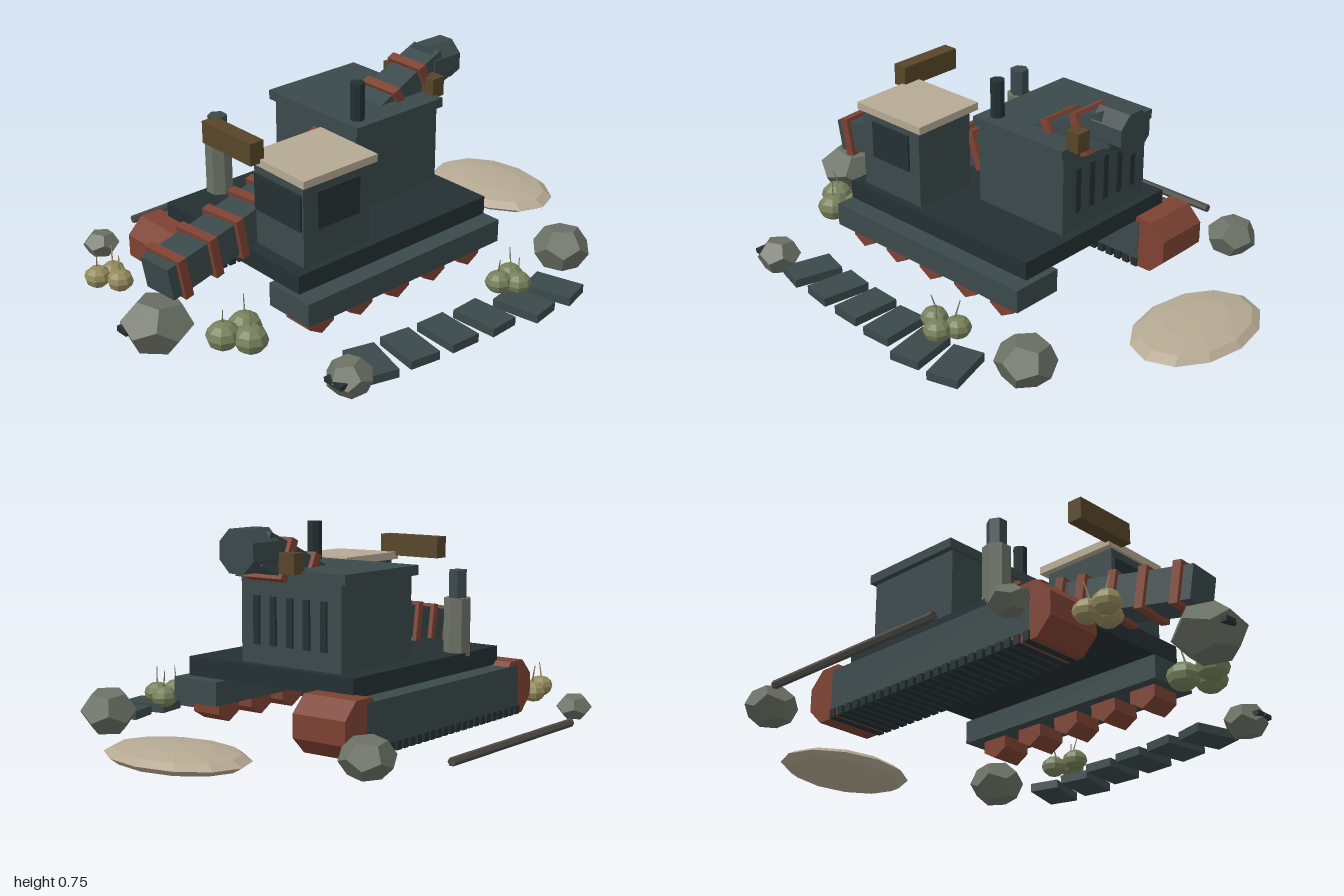
import * as THREE from 'three';

const mat = (name, color) => {
  const m = new THREE.MeshStandardMaterial({ color, flatShading: true });
  m.name = name;
  return m;
};

export function createModel() {
  const M = {
    slate: mat('slate steel', 0x3b494b),
    dark: mat('dark steel', 0x243032),
    rust: mat('rust', 0x7d4232),
    wood: mat('brown wood', 0x574529),
    cream: mat('sandy cream', 0xb5a993),
    stone: mat('grey stone', 0x6b7165),
    green: mat('green gourd', 0x77815c),
    yellow: mat('yellow gourd', 0x938a5c),
    rod: mat('rod grey', 0x4c4b45),
  };
  const model = new THREE.Group();
  model.name = 'abandonedDigger';

  const add = (name, geo, material, x, y, z, parent = model) => {
    const mesh = new THREE.Mesh(geo, material);
    mesh.name = name;
    mesh.position.set(x, y, z);
    parent.add(mesh);
    return mesh;
  };
  // box given by its extents
  const block = (name, m, x0, x1, y0, y1, z0, z1) =>
    add(name, new THREE.BoxGeometry(x1 - x0, y1 - y0, z1 - z0), m, (x0 + x1) / 2, (y0 + y1) / 2, (z0 + z1) / 2);
  const tube = (name, m, r, len, sides, x, y, z, axis = 'y') => {
    const g = new THREE.CylinderGeometry(r, r, len, sides);
    g.rotateY(Math.PI / sides);
    if (axis === 'x') g.rotateZ(Math.PI / 2);
    if (axis === 'z') g.rotateX(Math.PI / 2);
    return add(name, g, m, x, y, z);
  };

  // Chassis deck
  block('deck', M.dark, -0.405, 0.325, 0.215, 0.283, -0.37, 0.51);

  // Complete track on the right side
  block('rightTrackFrame', M.slate, -0.472, -0.255, 0.06, 0.212, -0.385, 0.55);
  for (const z of [-0.4, 0.54]) tube('trackRoller', M.rust, 0.107, 0.215, 8, -0.364, 0.13, z, 'x');
  for (let i = 0; i < 24; i++) {
    const z = -0.37 + i * 0.0396;
    block('treadPlate', M.dark, -0.478, -0.25, 0.03, 0.062, z - 0.013, z + 0.013);
  }

  // Stripped track on the left side, with bare wheels
  block('leftTrackFrame', M.slate, 0.185, 0.385, 0.12, 0.206, -0.385, 0.522);
  for (let i = 0; i < 5; i++) tube('roadWheel', M.rust, 0.062, 0.12, 6, 0.285, 0.107, 0.43 - i * 0.176, 'x');

  // Thrown track plates beside it
  [[0.665, -0.375, 16], [0.67, -0.215, 10], [0.637, -0.05, 3], [0.622, 0.112, -3], [0.607, 0.275, -9], [0.59, 0.435, -16]]
    .forEach(([x, z, deg]) => {
      const p = add('thrownPlate', new THREE.BoxGeometry(0.18, 0.032, 0.115), M.slate, x, 0.043, z);
      p.rotation.y = THREE.MathUtils.degToRad(deg);
    });

  // Engine house with vents and chimney
  block('engineHouse', M.slate, -0.33, 0.105, 0.283, 0.585, -0.335, 0.06);
  block('engineRoof', M.slate, -0.352, 0.125, 0.58, 0.615, -0.345, 0.072);
  for (let i = 0; i < 5; i++) {
    const x = -0.112 + (i - 2) * 0.073;
    block('ventSlot', M.dark, x - 0.013, x + 0.013, 0.35, 0.52, -0.343, -0.334);
  }
  tube('chimney', M.dark, 0.027, 0.145, 8, 0.062, 0.68, 0.013);

  // Canister with exhaust pipe
  tube('canister', M.stone, 0.049, 0.21, 7, -0.362, 0.375, 0.305);
  tube('exhaustPipe', M.slate, 0.035, 0.11, 6, -0.362, 0.525, 0.305);

  // Cab
  block('cab', M.slate, 0.045, 0.295, 0.283, 0.583, 0.17, 0.462);
  block('frontWindow', M.dark, 0.052, 0.288, 0.415, 0.547, 0.461, 0.47);
  block('sideWindow', M.dark, 0.294, 0.303, 0.41, 0.547, 0.22, 0.405);
  const roof = block('cabRoof', M.cream, 0.022, 0.31, 0.581, 0.609, 0.148, 0.472);
  roof.rotation.z = -0.015;

  // Boom: box sections along a bent path, with rust collars
  const path = new THREE.CatmullRomCurve3([
    [0.02, 0.28, 0.85], [0.005, 0.312, 0.67], [-0.02, 0.352, 0.45], [-0.035, 0.38, 0.3],
    [-0.035, 0.437, 0.12], [-0.035, 0.535, -0.1], [-0.035, 0.652, -0.35], [-0.035, 0.69, -0.44],
  ].map((p) => new THREE.Vector3(...p)));
  const N = 11;
  for (let i = 0; i < N; i++) {
    const a = path.getPointAt(i / N), b = path.getPointAt((i + 1) / N);
    const c = a.clone().add(b).multiplyScalar(0.5);
    add('boomSection', new THREE.BoxGeometry(0.135, 0.122, a.distanceTo(b) + 0.012), M.slate, c.x, c.y, c.z).lookAt(a);
  }
  for (const t of [0.035, 0.135, 0.225, 0.315, 0.38, 0.45, 0.53, 0.61, 0.69, 0.825, 0.925]) {
    const p = path.getPointAt(t);
    add('boomCollar', new THREE.BoxGeometry(0.167, 0.15, 0.033), M.rust, p.x, p.y, p.z)
      .lookAt(p.clone().sub(path.getTangentAt(t)));
  }
  tube('boomDrum', M.slate, 0.08, 0.13, 8, -0.038, 0.686, -0.457, 'z');
  block('frontBeam', M.wood, -0.17, 0.09, 0.597, 0.677, 0.455, 0.512);
  block('rearBeam', M.wood, -0.17, 0.09, 0.605, 0.677, -0.385, -0.33);

  // Boulders: x, y, z, half sizes, turn
  [[0.02, 0.115, 0.868, 0.13, 0.098, 0.13, 0.3], [-0.6, 0.085, -0.553, 0.094, 0.075, 0.094, 1.1],
    [0.535, 0.09, -0.565, 0.105, 0.088, 0.105, 0.8], [0.635, 0.075, 0.568, 0.08, 0.068, 0.08, 2],
    [-0.658, 0.065, 0.642, 0.068, 0.05, 0.068, 0.5]].forEach(([x, y, z, a, b, c, turn]) => {
    const g = new THREE.DodecahedronGeometry(1);
    g.rotateX(0.35).rotateY(turn);
    add('boulder', g.scale(a, b, c), M.stone, x, y, z);
  });
  // Stone chips set in two boulders
  block('stoneChip', M.dark, -0.045, 0.005, 0.102, 0.122, 0.95, 0.982);
  block('stoneChip', M.dark, 0.6, 0.68, 0.073, 0.09, 0.615, 0.645);

  // Gourd clusters with thin stems
  const cluster = (m, y, r, spots) => spots.forEach(([x, z], i) => {
    const g = new THREE.SphereGeometry(r, 8, 6).scale(1, 0.82, 1);
    add('gourd', g, m, x, y + i * 0.006, z);
    const stem = add('gourdStem', new THREE.CylinderGeometry(0.002, 0.004, 0.07, 4), m, x, y + r + 0.02, z);
    stem.rotation.set(0.15 * (i - 1), 0, 0.25 * (1 - i));
  });
  cluster(M.green, 0.09, 0.06, [[0.19, 0.635], [0.28, 0.68], [0.21, 0.74]]);
  cluster(M.green, 0.094, 0.048, [[0.55, -0.27], [0.617, -0.24], [0.575, -0.185]]);
  cluster(M.yellow, 0.078, 0.048, [[-0.425, 0.745], [-0.35, 0.765], [-0.415, 0.815]]);

  // Sand mound behind
  add('sandMound', new THREE.SphereGeometry(1, 12, 6).scale(0.275, 0.041, 0.187), M.cream, -0.04, 0.057, -0.813);

  // Loose rod
  tube('looseRod', M.rod, 0.015, 0.76, 6, -0.76, 0.052, 0.053, 'z');

  return model;
}
